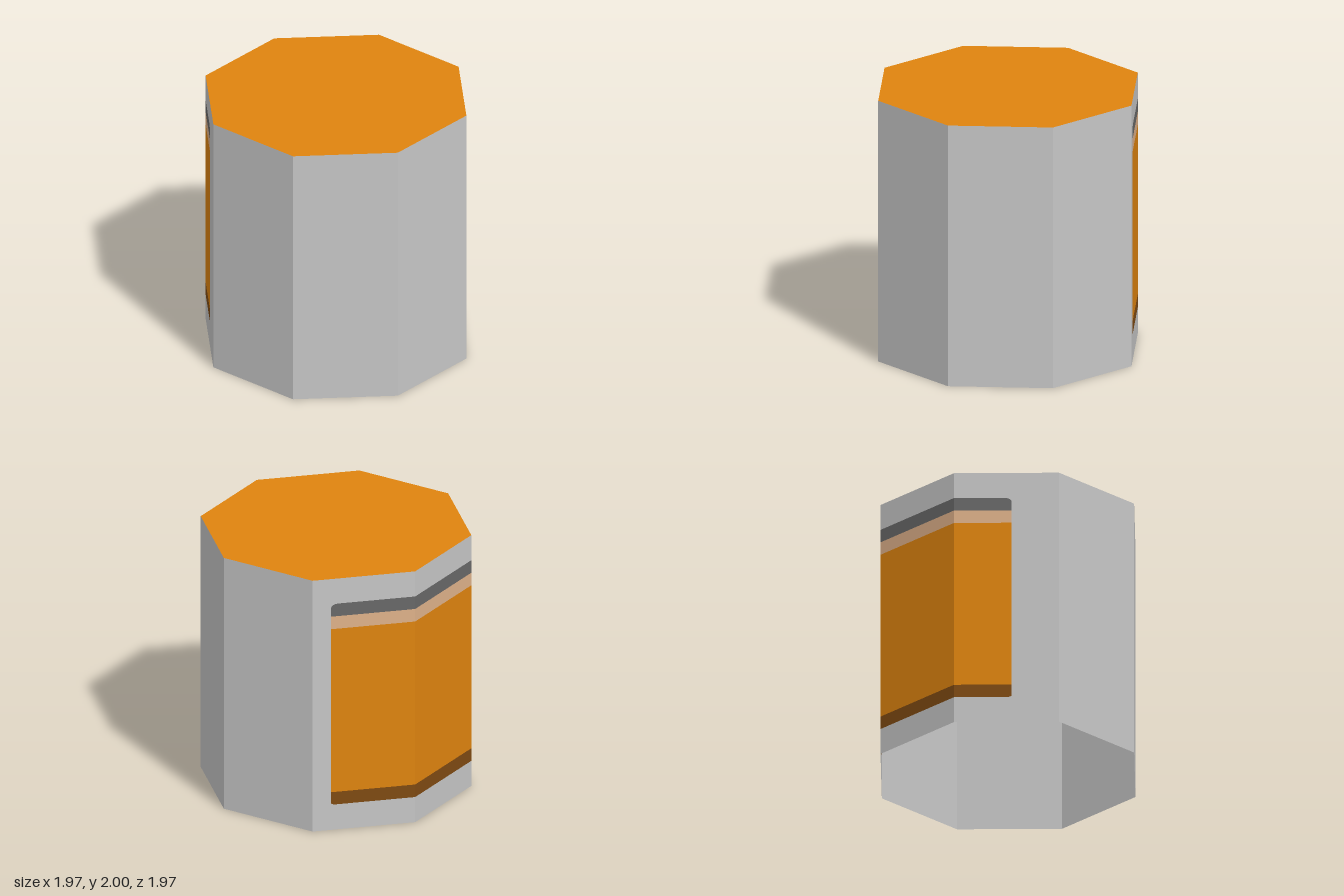
import * as THREE from 'three';

const SIDES = 8, HEIGHT = 2, START = THREE.MathUtils.degToRad(10.6);
const FACE = 2 * Math.sin(Math.PI / SIDES); // length of one side
const LABEL = { from: 4.45, to: 6.82 };     // wrap of the label, counted in sides

// Point on the octagonal wall: t counts sides around the perimeter
function wallPoint(t, y) {
  const i = Math.floor(t), f = t - i;
  const a = START + (i * 2 * Math.PI) / SIDES, b = a + (2 * Math.PI) / SIDES;
  return [
    THREE.MathUtils.lerp(Math.cos(a), Math.cos(b), f), y,
    THREE.MathUtils.lerp(Math.sin(a), Math.sin(b), f),
  ];
}

// How far a rounded label corner pulls in at position t
function cornerInset(t, rx, ry) {
  const d = Math.max(0, Math.min(t - LABEL.from, LABEL.to - t) * FACE);
  return d >= rx ? 0 : ry * (1 - Math.sqrt(1 - ((rx - d) / rx) ** 2));
}

function material(name, color) {
  const m = new THREE.MeshStandardMaterial({ color, side: THREE.DoubleSide });
  m.name = name;
  return m;
}

export function createModel() {
  const group = new THREE.Group();
  group.name = 'octagonalCanister';
  const mats = {
    grey: material('wall grey', 0xc6c6c6),
    orange: material('orange', 0xdf840f),
    brown: material('dark brown', 0x7f4a12),
    tan: material('tan', 0xdeb189),
    charcoal: material('charcoal', 0x686868),
  };
  const parts = {
    wall: { mat: mats.grey, pos: [] },
    labelBottomBand: { mat: mats.brown, pos: [] },
    labelPanel: { mat: mats.orange, pos: [] },
    labelUpperBand: { mat: mats.tan, pos: [] },
    labelTopBand: { mat: mats.charcoal, pos: [] },
  };

  // Outward-facing quad between columns t0 and t1
  function quad(part, t0, t1, low0, low1, high0, high1) {
    const a = wallPoint(t0, low0), b = wallPoint(t1, low1);
    const c = wallPoint(t1, high1), d = wallPoint(t0, high0);
    parts[part].pos.push(...b, ...a, ...d, ...b, ...d, ...c);
  }

  // Column breaks: octagon corners plus fine steps at the rounded label ends
  const breaks = [];
  for (let i = 0; i <= SIDES; i++) breaks.push(i);
  for (let s = 0; s <= 6; s++) {
    const d = (0.055 / FACE) * (s / 6) ** 2;
    breaks.push(LABEL.from + d, LABEL.to - d);
  }
  breaks.sort((a, b) => a - b);

  // Each column is stacked from the base to the rim
  const stack = ['wall', 'labelBottomBand', 'labelPanel', 'labelUpperBand', 'labelTopBand', 'wall'];
  const levels = (t) => [
    0, 0.2 + cornerInset(t, 0.03, 0.015), 0.3, 1.6, 1.7,
    1.8 - cornerInset(t, 0.055, 0.03), HEIGHT,
  ];
  for (let i = 0; i < breaks.length - 1; i++) {
    const t0 = breaks[i], t1 = breaks[i + 1], mid = (t0 + t1) / 2;
    if (mid < LABEL.from || mid > LABEL.to) {
      quad('wall', t0, t1, 0, 0, HEIGHT, HEIGHT);
      continue;
    }
    const l0 = levels(t0), l1 = levels(t1);
    stack.forEach((part, k) => quad(part, t0, t1, l0[k], l1[k], l0[k + 1], l1[k + 1]));
  }

  for (const [name, { mat, pos }] of Object.entries(parts)) {
    const geo = new THREE.BufferGeometry();
    geo.setAttribute('position', new THREE.Float32BufferAttribute(pos, 3));
    geo.computeVertexNormals();
    const mesh = new THREE.Mesh(geo, mat);
    mesh.name = name;
    group.add(mesh);
  }

  // Lid closing the top; the base stays open
  const lid = new THREE.Mesh(new THREE.CircleGeometry(1, SIDES, -START), mats.orange);
  lid.name = 'lid';
  lid.rotation.x = -Math.PI / 2;
  lid.position.y = HEIGHT;
  group.add(lid);
  return group;
}
